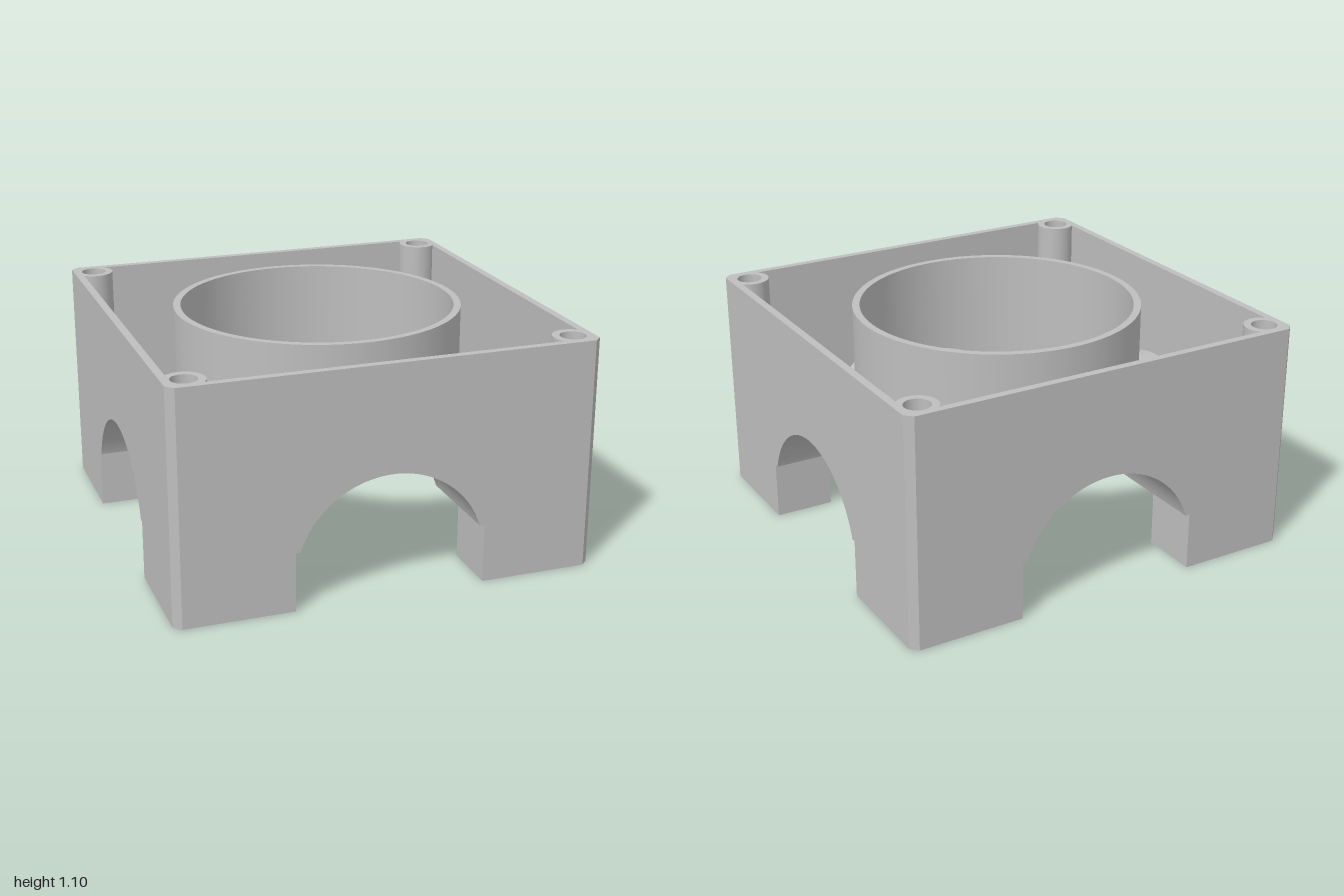
import * as THREE from 'three';
import { toCreasedNormals } from 'three/addons/utils/BufferGeometryUtils.js';

const H = 1.1;                       // overall height
const WALL = 0.963;                  // inner face of the outer walls
const ARCH_Y = 0.14, ARCH_R = 0.45;  // tunnel centre height and radius
const LEDGE = 0.28, T = 0.035;       // leg height and shell thickness
const BORE = 0.655, TUBE = 0.69;     // central tube radii
const A_IN = Math.asin((LEDGE - ARCH_Y) / ARCH_R);
const A_OUT = Math.asin((LEDGE + T - ARCH_Y) / (ARCH_R + T));

const shapeOf = pts => new THREE.Shape(pts.map(p => new THREE.Vector2(...p)));

function extrude(shape, depth) {
  return new THREE.ExtrudeGeometry(shape, { depth, bevelEnabled: false, curveSegments: 48 });
}

// Extrude a plan outline upwards from y0 to y1
function extrudeUp(shape, y0, y1) {
  return toCreasedNormals(extrude(shape, y1 - y0).rotateX(-Math.PI / 2).translate(0, y0, 0), 0.5);
}

function circleHole(x, y, r) {
  const p = new THREE.Path();
  p.absarc(x, y, r, 0, Math.PI * 2, true);
  return p;
}

// Outer wall with the arched opening
function wallGeometry() {
  const s = new THREE.Shape();
  s.moveTo(-0.965, 0);
  s.lineTo(-0.45, 0);
  s.lineTo(-0.45, LEDGE);
  s.absarc(0, ARCH_Y, ARCH_R, Math.PI - A_IN, A_IN, true);
  s.lineTo(0.45, LEDGE);
  s.lineTo(0.45, 0);
  s.lineTo(0.965, 0);
  s.lineTo(0.965, H);
  s.lineTo(-0.965, H);
  return toCreasedNormals(extrude(s, 1 - WALL).translate(0, 0, WALL), 0.5);
}

// Vaulted tunnel shell, its inner end trimmed to the round bore
function tunnelGeometry() {
  const s = new THREE.Shape();
  s.moveTo(-0.485, LEDGE);
  s.absarc(0, ARCH_Y, ARCH_R, Math.PI - A_IN, A_IN, true);
  s.lineTo(0.485, LEDGE);
  s.lineTo(0.485, LEDGE + T);
  s.absarc(0, ARCH_Y, ARCH_R + T, A_OUT, Math.PI - A_OUT, false);
  s.lineTo(-0.485, LEDGE + T);
  const g = extrude(s, 1);
  const p = g.attributes.position;
  for (let i = 0; i < p.count; i++) {
    const x = p.getX(i);
    const start = Math.sqrt((BORE + 0.003) ** 2 - x * x);
    p.setZ(i, p.getZ(i) < 0.5 ? start : WALL + 0.002);
  }
  return toCreasedNormals(g, 0.5);
}

// Central tube whose lower rim follows the four tunnels
function tubeGeometry() {
  const profile = [[BORE, H], [BORE, 0], [TUBE, 0], [TUBE, H], [BORE, H]];
  const g = new THREE.LatheGeometry(profile.map(p => new THREE.Vector2(...p)), 192);
  const p = g.attributes.position;
  for (let i = 0; i < p.count; i++) {
    if (p.getY(i) > 0.5) continue;
    const m = Math.min(Math.abs(p.getX(i)), Math.abs(p.getZ(i)));
    const arch = ARCH_Y + Math.sqrt(Math.max(0, ARCH_R ** 2 - m * m));
    p.setY(i, Math.max(LEDGE, arch));
  }
  return toCreasedNormals(g, 0.5);
}

// L-shaped leg outline: a is the outer notch side, b the notch corner, c the far side
const legOutline = (a, b, c) => [[a, b], [b, b], [b, a], [c, a], [c, c], [a, c]];

function legWallsGeometry() {
  const s = shapeOf(legOutline(0.45, 0.715, 0.97));
  s.holes.push(new THREE.Path(legOutline(0.485, 0.75, 0.965).map(p => new THREE.Vector2(...p))));
  return extrudeUp(s, 0, LEDGE + T);
}

function legFloorGeometry() {
  const s = shapeOf(legOutline(0.45, 0.715, 0.97));
  s.holes.push(circleHole(0.9, 0.9, 0.06));
  return extrudeUp(s, 0, T);
}

// Plate over the notch, trimmed by the bore
function notchPlateGeometry() {
  const r = BORE + 0.003;
  const a = Math.asin(0.45 / r);
  const s = new THREE.Shape();
  s.moveTo(0.75, 0.45);
  s.lineTo(0.75, 0.75);
  s.lineTo(0.45, 0.75);
  s.absarc(0, 0, r, Math.PI / 2 - a, a, true);
  return extrudeUp(s, LEDGE, LEDGE + T);
}

function postGeometry() {
  const s = new THREE.Shape();
  s.absarc(0.9, 0.9, 0.095, 0, Math.PI * 2, false);
  s.holes.push(circleHole(0.9, 0.9, 0.06));
  return extrudeUp(s, 0, H);
}

export function createModel() {
  const model = new THREE.Group();
  model.name = 'ductHousing';
  const grey = new THREE.MeshStandardMaterial({ color: 0xbebebe });
  grey.name = 'grey';

  const tube = new THREE.Mesh(tubeGeometry(), grey);
  tube.name = 'centralTube';
  model.add(tube);

  // Parts repeated on each side and corner
  const parts = {
    outerWall: wallGeometry(),
    tunnelVault: tunnelGeometry(),
    cornerChamfer: extrudeUp(shapeOf([[0.965, 1], [0.96, 0.96], [1, 0.965]]), 0, H),
    legWalls: legWallsGeometry(),
    legFloor: legFloorGeometry(),
    notchPlate: notchPlateGeometry(),
    screwPost: postGeometry(),
  };
  for (let i = 0; i < 4; i++) {
    const side = new THREE.Group();
    side.name = 'side' + (i + 1);
    side.rotation.y = i * Math.PI / 2;
    for (const [name, geometry] of Object.entries(parts)) {
      const mesh = new THREE.Mesh(geometry, grey);
      mesh.name = name;
      side.add(mesh);
    }
    model.add(side);
  }
  return model;
}
